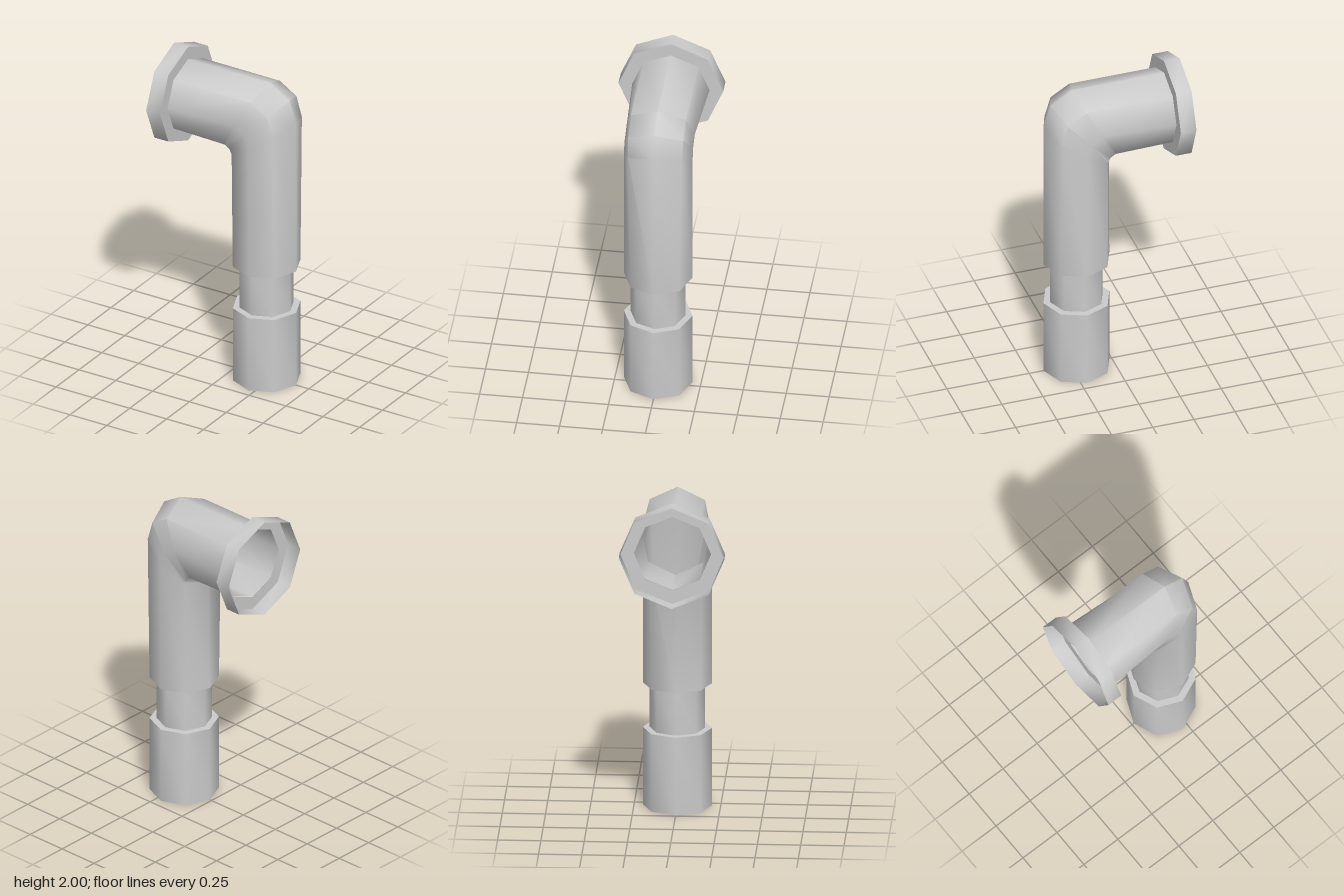
import * as THREE from 'three';
import { toCreasedNormals } from 'three/addons/utils/BufferGeometryUtils.js';

const SIDES = 8;
const AXIS_X = 0.213; // centre of the upright tube
const material = new THREE.MeshStandardMaterial({ color: 0xcccccc, side: THREE.DoubleSide });

function part(name, geometry) {
  const mesh = new THREE.Mesh(toCreasedNormals(geometry, 0.95), material);
  mesh.name = name;
  return mesh;
}

// Eight-sided turned part from [radius, height] pairs, listed bottom to top
function turned(name, profile) {
  return part(name, new THREE.LatheGeometry(profile.map(p => new THREE.Vector2(...p)), SIDES));
}

// Skin over eight-sided rings, each given by its outer and inner point,
// half width at the sides and half width at the diagonals
function bentTube(name, rings) {
  const positions = [], index = [];
  for (const { outer, inner, side, diagonal } of rings) {
    const cx = (outer[0] + inner[0]) / 2, cy = (outer[1] + inner[1]) / 2;
    for (let i = 0; i < SIDES; i++) {
      const a = (i / SIDES) * Math.PI * 2;
      const c = Math.cos(a), s = Math.sin(a);
      const z = i % 2 ? Math.sign(s) * diagonal : s * side;
      positions.push(cx + (outer[0] - cx) * c, cy + (outer[1] - cy) * c, z);
    }
  }
  for (let r = 0; r < rings.length - 1; r++) {
    for (let i = 0; i < SIDES; i++) {
      const j = (i + 1) % SIDES;
      const a = r * SIDES + i, b = r * SIDES + j, c = a + SIDES, d = b + SIDES;
      index.push(a, b, c, b, d, c);
    }
  }
  const geometry = new THREE.BufferGeometry();
  geometry.setAttribute('position', new THREE.Float32BufferAttribute(positions, 3));
  geometry.setIndex(index);
  return part(name, geometry);
}

export function createModel() {
  const model = new THREE.Group();
  model.name = 'elbowPipe';

  // Closed lower barrel and the narrower neck above it
  const barrel = turned('lowerBarrel', [[0, 0], [0.2, 0], [0.2, 0.47], [0.16, 0.47]]);
  const neck = turned('neck', [[0.16, 0.47], [0.16, 0.74], [0.2, 0.74]]);
  barrel.position.x = neck.position.x = AXIS_X;

  // Hollow tube: horizontal arm, elbow and upright
  const tube = bentTube('elbowTube', [
    { outer: [-0.32, 1.92], inner: [-0.32, 1.475], side: 0.225, diagonal: 0.16 },
    { outer: [0.24, 1.92], inner: [-0.01, 1.465], side: 0.2, diagonal: 0.16 },
    { outer: [0.37, 1.84], inner: [0.005, 1.455], side: 0.2, diagonal: 0.16 },
    { outer: [0.413, 1.7], inner: [0.015, 1.44], side: 0.2, diagonal: 0.157 },
    { outer: [0.413, 0.74], inner: [0.013, 0.74], side: 0.2, diagonal: 0.142 },
  ]);

  // Open collar around the mouth of the arm, turned on its side
  const collar = turned('mouthCollar', [[0.223, 0.32], [0.305, 0.32], [0.305, 0.415]]);
  collar.rotation.z = Math.PI / 2;
  collar.position.y = 1.695;

  model.add(barrel, neck, tube, collar);
  return model;
}
